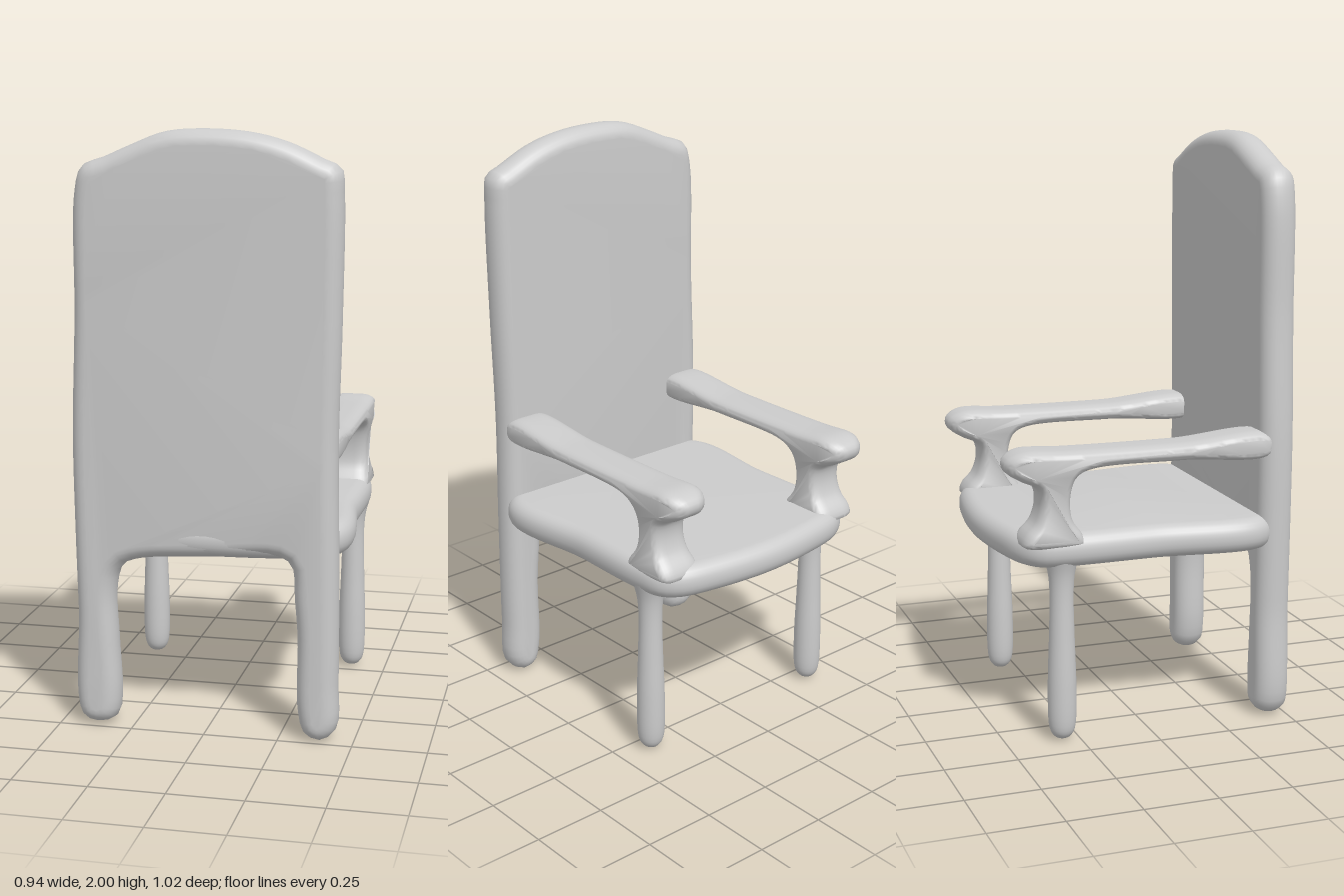
import * as THREE from 'three';
import { toCreasedNormals } from 'three/addons/utils/BufferGeometryUtils.js';

const material = new THREE.MeshStandardMaterial({ color: 0xcccccc });

// Soft slab: smooth closed outline, rounded edges, centred on its thickness.
function softSlab(points, samples, thickness, round, inset) {
  const curve = new THREE.CatmullRomCurve3(
    points.map(([x, y]) => new THREE.Vector3(x, y, 0)), true, 'centripetal');
  const outline = curve.getSpacedPoints(samples).slice(0, -1).map(p => new THREE.Vector2(p.x, p.y));
  const geometry = new THREE.ExtrudeGeometry(new THREE.Shape(outline), {
    depth: thickness - 2 * round, bevelEnabled: true, bevelThickness: round,
    bevelSize: inset, bevelOffset: -inset, bevelSegments: 6,
  });
  return geometry.translate(0, 0, -(thickness - 2 * round) / 2);
}

function addPart(group, name, geometry) {
  const mesh = new THREE.Mesh(toCreasedNormals(geometry, 1.0), material);
  mesh.name = name;
  group.add(mesh);
  return mesh;
}

export function createModel() {
  const chair = new THREE.Group();
  chair.name = 'armchair';

  // Tall back panel running down into the two rear legs
  const back = softSlab([
    [-0.43, 0.03], [-0.37, 0.005], [-0.31, 0.03], [-0.297, 0.1], [-0.305, 0.3], [-0.31, 0.48],
    [-0.285, 0.56], [-0.23, 0.585], [0, 0.605], [0.25, 0.62], [0.29, 0.59], [0.3, 0.48],
    [0.31, 0.35], [0.312, 0.1], [0.335, 0.02], [0.39, 0], [0.44, 0.04], [0.445, 0.2],
    [0.443, 0.6], [0.437, 1.0], [0.445, 1.4], [0.447, 1.8], [0.438, 1.88], [0.38, 1.91],
    [0.27, 1.96], [0.15, 1.99], [0, 2.0], [-0.13, 1.99], [-0.25, 1.945], [-0.33, 1.91],
    [-0.405, 1.88], [-0.43, 1.8], [-0.437, 1.4], [-0.45, 1.0], [-0.447, 0.7], [-0.44, 0.4],
  ], 200, 0.12, 0.055, 0.05);
  addPart(chair, 'backAndRearLegs', back.translate(0, 0, 0.447));

  // Seat with a bowed front edge (outline drawn with forward as +y)
  const seat = softSlab([
    [-0.435, -0.42], [0.43, -0.42], [0.44, 0], [0.44, 0.3], [0.42, 0.4], [0.36, 0.455],
    [0.22, 0.49], [0, 0.51], [-0.22, 0.49], [-0.36, 0.455], [-0.425, 0.4], [-0.445, 0.3], [-0.445, 0],
  ], 120, 0.115, 0.052, 0.05);
  addPart(chair, 'seat', seat.rotateX(-Math.PI / 2).translate(0, 0.667, 0));

  // Armrest and its flared post, as one side profile (z, y)
  const armProfile = [
    [0.42, 0.935], [0.1, 0.938], [-0.22, 0.932], [-0.265, 0.91], [-0.285, 0.85], [-0.28, 0.77],
    [-0.245, 0.715], [-0.24, 0.685], [-0.34, 0.675], [-0.45, 0.69], [-0.44, 0.725], [-0.405, 0.765],
    [-0.388, 0.83], [-0.4, 0.88], [-0.455, 0.908], [-0.5, 0.94], [-0.505, 0.97],
    [-0.485, 0.99], [-0.44, 1.005], [-0.3, 1.0], [0.1, 0.998], [0.42, 1.005],
  ];
  // Rounded foot and slight waist for the front legs (radius, y)
  const legProfile = new THREE.SplineCurve([
    [0, 0.005], [0.028, 0.014], [0.046, 0.06], [0.048, 0.2], [0.043, 0.36],
    [0.04, 0.5], [0.045, 0.58], [0.06, 0.64],
  ].map(([r, y]) => new THREE.Vector2(r, y))).getPoints(32);
  legProfile.forEach(p => { p.x = Math.max(0, p.x); });

  for (const [side, name, armX] of [[-1, 'right', -0.368], [1, 'left', 0.352]]) {
    const arm = softSlab(armProfile, 180, 0.16, 0.05, 0.026).rotateY(-Math.PI / 2);
    const p = arm.attributes.position;
    for (let i = 0; i < p.count; i++) {
      const y = p.getY(i), z = p.getZ(i);
      // Round the hand end in plan, and waist the post
      const tip = Math.min(1, Math.max(0, (-z - 0.42) / 0.1));
      const waist = z < -0.2 ? Math.max(0, 1 - ((y - 0.83) / 0.1) ** 2) : 0;
      p.setX(i, p.getX(i) * Math.sqrt(1 - tip * tip) * (1 - 0.15 * waist));
    }
    addPart(chair, name + 'Armrest', arm.translate(armX, 0, 0));

    const leg = new THREE.Mesh(new THREE.LatheGeometry(legProfile, 24), material);
    leg.name = name + 'FrontLeg';
    leg.position.set(side * 0.375, 0, -0.308);
    chair.add(leg);
  }
  return chair;
}
